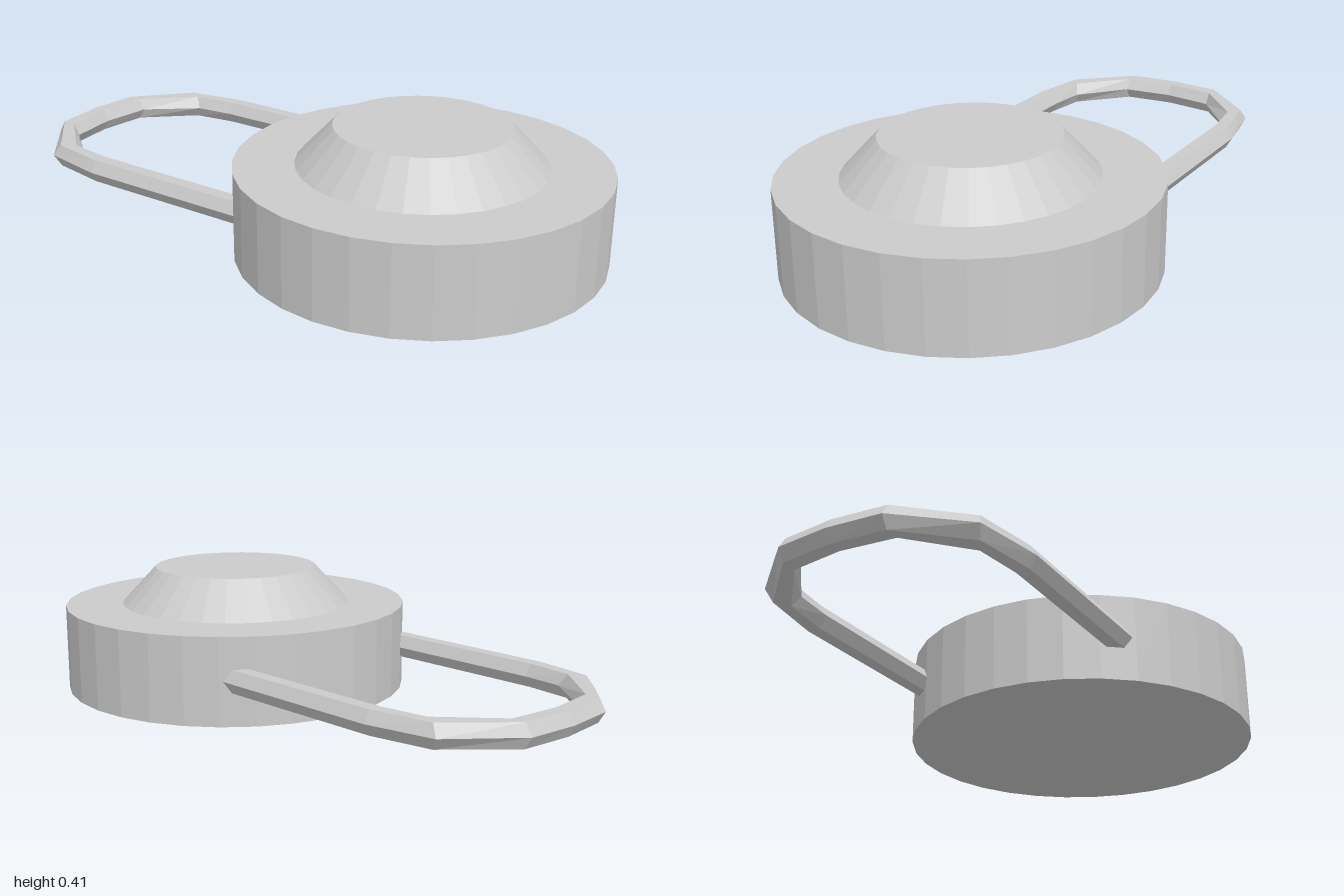
import * as THREE from 'three';

const material = new THREE.MeshStandardMaterial({ color: 0xcccccc, flatShading: true });

// Joins hexagonal rings, each given by its outer and inner corner [x, z, x, z], and caps the ends
function sweepHexagon(rings, y, radius) {
  const sides = 6, positions = [], index = [];
  for (const [outerX, outerZ, innerX, innerZ] of rings) {
    for (let k = 0; k < sides; k++) {
      const angle = (k / sides) * Math.PI * 2;
      const toInner = (1 - Math.cos(angle)) / 2;
      positions.push(
        THREE.MathUtils.lerp(outerX, innerX, toInner),
        y + Math.sin(angle) * radius,
        THREE.MathUtils.lerp(outerZ, innerZ, toInner));
    }
  }
  const last = (rings.length - 1) * sides;
  for (let ring = 0; ring < last; ring += sides) {
    for (let k = 0; k < sides; k++) {
      const a = ring + k, b = ring + (k + 1) % sides;
      index.push(a, b, a + sides, b, b + sides, a + sides);
    }
  }
  for (let k = 1; k < sides - 1; k++) {
    index.push(0, k + 1, k, last, last + k, last + k + 1);
  }
  const geometry = new THREE.BufferGeometry();
  geometry.setAttribute('position', new THREE.Float32BufferAttribute(positions, 3));
  geometry.setIndex(index);
  geometry.computeVertexNormals();
  return geometry;
}

export function createModel() {
  const group = new THREE.Group();
  const add = (name, geometry, x = 0, y = 0) => {
    const mesh = new THREE.Mesh(geometry, material);
    mesh.name = name;
    mesh.position.set(x, y, 0);
    group.add(mesh);
  };

  // Round body and the raised, tapered cap on top
  add('body', new THREE.CylinderGeometry(0.582, 0.582, 0.285, 32), 0.418, 0.1425);
  add('cap', new THREE.CylinderGeometry(0.275, 0.39, 0.123, 32), 0.417, 0.3465);

  // Loop handle: one half of its rings, mirrored to the other side
  const half = [
    [0, 0.403, 0, 0.317],
    [-0.6, 0.403, -0.6, 0.317],
    [-0.82, 0.362, -0.73, 0.303],
    [-0.985, 0.17, -0.893, 0.17],
  ];
  const mirrored = half.map(([ox, oz, ix, iz]) => [ox, -oz, ix, -iz]).reverse();
  add('handle', sweepHexagon([...half, [-1, 0, -0.914, 0], ...mirrored], 0.145, 0.043));
  return group;
}
